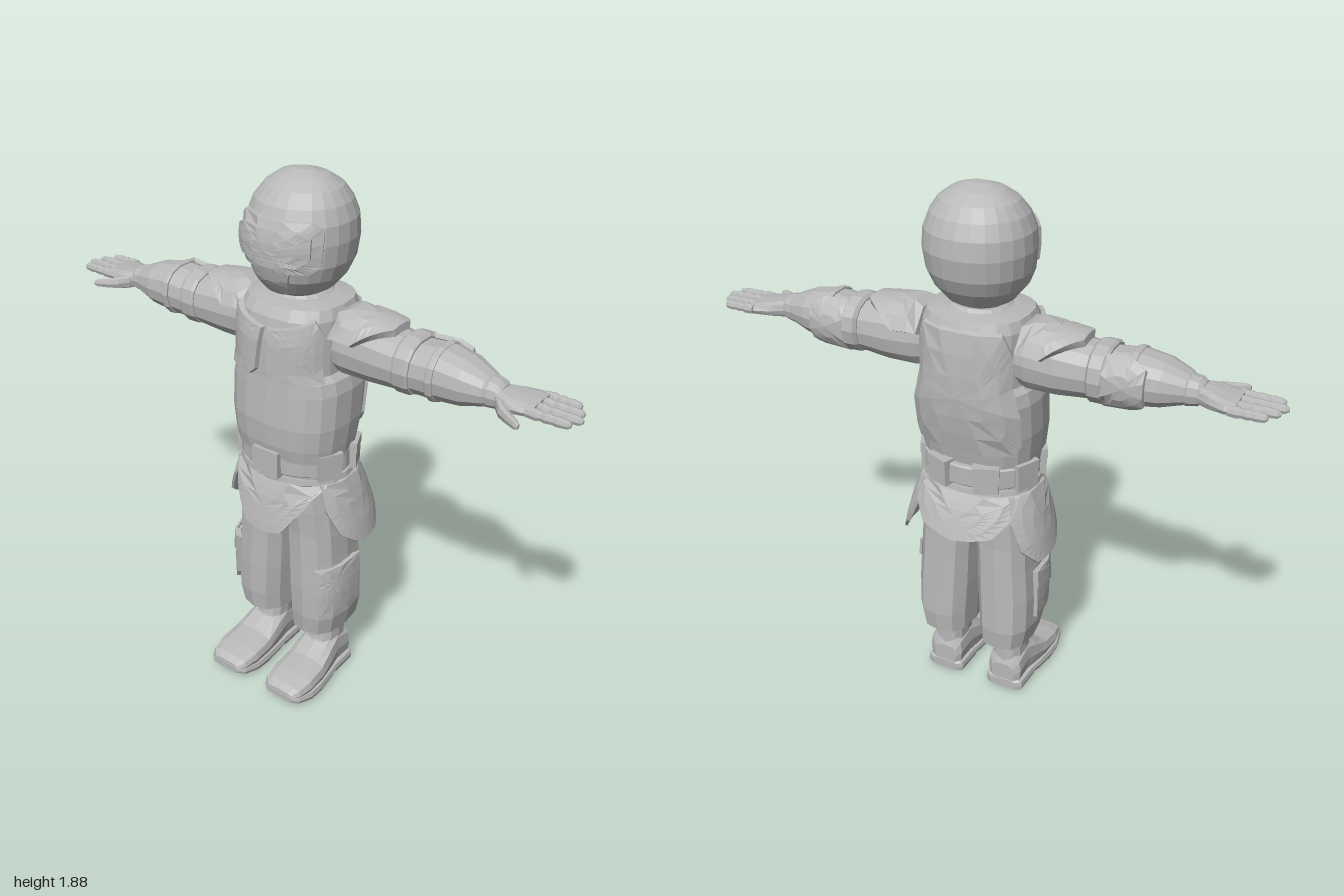
import * as THREE from 'three';

const grey = new THREE.MeshStandardMaterial({ color: 0xb8b8b8, flatShading: true, side: THREE.DoubleSide });
grey.name = 'plain grey';

// Point on a loft ring. A section is [t, a0, a1, b0, b1]: position on the axis, then the extent across it.
// Axis y: a = x, b = z. Axis x: a = z, b = y. Axis z: a = y, b = x.
const toXYZ = { y: (t, a, b) => [a, t, b], x: (t, a, b) => [t, b, a], z: (t, a, b) => [b, a, t] };
function ringPoint(s, axis, e, angle, d = 0) {
  const c = Math.cos(angle), n = Math.sin(angle);
  const bend = v => Math.sign(v) * Math.abs(v) ** (2 / e);
  const a = (s[1] + s[2]) / 2 + ((s[2] - s[1]) / 2) * bend(c) + d * c;
  const b = (s[3] + s[4]) / 2 + ((s[4] - s[3]) / 2) * bend(n) + d * n;
  return toXYZ[axis](s[0], a, b);
}

function makeMesh(name, pos, idx) {
  const g = new THREE.BufferGeometry();
  g.setAttribute('position', new THREE.Float32BufferAttribute(pos, 3));
  g.setIndex(idx);
  const flat = g.toNonIndexed();
  flat.computeVertexNormals();
  const m = new THREE.Mesh(flat, grey);
  m.name = name;
  return m;
}

// Closed skin over a row of cross-sections
function loft(name, secs, { axis = 'y', n = 16, e = 2.3 } = {}) {
  const pos = [], idx = [], last = (secs.length - 1) * n;
  for (const s of secs)
    for (let i = 0; i < n; i++) pos.push(...ringPoint(s, axis, e, (i / n) * Math.PI * 2));
  for (const s of [secs[0], secs[secs.length - 1]])
    pos.push(...toXYZ[axis](s[0], (s[1] + s[2]) / 2, (s[3] + s[4]) / 2));
  const c0 = secs.length * n;
  for (let i = 0; i < n; i++) {
    const k = (i + 1) % n;
    for (let j = 0; j < last; j += n) idx.push(j + i, j + n + i, j + k, j + k, j + n + i, j + n + k);
    idx.push(c0, i, k, c0 + 1, last + k, last + i);
  }
  return makeMesh(name, pos, idx);
}

// Padded plate lying on a loft; the outline holds [angle, t] pairs
function plate(name, outline, thick, secs, { axis = 'y', e = 2.3, lift = 0 } = {}) {
  const place = (u, t, d) => {
    let i = 0;
    while (i < secs.length - 2 && t > secs[i + 1][0]) i++;
    const f = (t - secs[i][0]) / (secs[i + 1][0] - secs[i][0]);
    return ringPoint(secs[i].map((v, k) => v + (secs[i + 1][k] - v) * f), axis, e, u, d);
  };
  const pts = [];
  outline.forEach((p, i) => {
    const q = outline[(i + 1) % outline.length];
    for (let k = 0; k < 3; k++) pts.push([p[0] + (q[0] - p[0]) * k / 3, p[1] + (q[1] - p[1]) * k / 3]);
  });
  const n = pts.length, pos = [], idx = [];
  const cu = pts.reduce((s, p) => s + p[0], 0) / n, ct = pts.reduce((s, p) => s + p[1], 0) / n;
  // inner face, rim, then outer face
  const rows = [[0.02, 0], [0.5, 0], [1, 0], [0.97, 1], [0.66, 1], [0.33, 1], [0.01, 1]];
  for (const [s, d] of rows)
    for (const [u, t] of pts) pos.push(...place(cu + (u - cu) * s, ct + (t - ct) * s, lift + d * thick));
  for (let j = 0; j < rows.length - 1; j++)
    for (let i = 0; i < n; i++) {
      const a = j * n + i, b = j * n + (i + 1) % n;
      idx.push(a, b, a + n, b, b + n, a + n);
    }
  return makeMesh(name, pos, idx);
}

const FRONT = Math.PI / 2, BACK = -Math.PI / 2;
// Symmetric outline from half of it, [offset angle, t]
const both = (mid, half) => [...half.map(([a, t]) => [mid + a, t]),
  ...half.slice().reverse().filter(p => p[0] !== 0).map(([a, t]) => [mid - a, t])];

const HELMET = [[1.497, -.07, .07, -.1, .05], [1.52, -.11, .11, -.14, .085], [1.57, -.152, .152, -.18, .122],
  [1.62, -.172, .172, -.205, .138], [1.69, -.18, .18, -.217, .14], [1.75, -.176, .176, -.211, .13],
  [1.80, -.157, .157, -.19, .107], [1.84, -.128, .128, -.16, .07], [1.87, -.085, .085, -.115, .025],
  [1.885, -.035, .035, -.065, -.02]];
const TORSO = [[.95, -.2, .2, -.165, .15], [1.0, -.207, .207, -.175, .16], [1.08, -.216, .216, -.19, .165],
  [1.2, -.216, .216, -.207, .158], [1.245, -.205, .205, -.208, .155], [1.265, -.184, .184, -.208, .155],
  [1.38, -.184, .184, -.203, .152], [1.45, -.184, .184, -.195, .138], [1.485, -.17, .17, -.18, .115],
  [1.495, -.12, .12, -.13, .06]];
const ARM = [[.14, -.13, .04, 1.27, 1.44], [.2, -.15, .05, 1.25, 1.465], [.3, -.155, .052, 1.253, 1.455],
  [.4, -.145, .05, 1.262, 1.44], [.47, -.145, .048, 1.267, 1.437], [.55, -.143, .05, 1.27, 1.445],
  [.63, -.128, .045, 1.28, 1.43], [.7, -.1, .022, 1.3, 1.4], [.72, -.085, .005, 1.31, 1.385]];
const LEG = [[.213, .045, .19, -.14, .08], [.225, .025, .208, -.163, .103], [.3, .02, .223, -.17, .113],
  [.42, .012, .224, -.165, .115], [.55, .008, .214, -.16, .112], [.65, .003, .21, -.157, .112],
  [.75, 0, .2, -.16, .12], [.84, 0, .19, -.15, .12]];
const SKIRT = [[.6, -.27, .27, -.265, .195], [.7, -.25, .25, -.25, .18], [.8, -.225, .225, -.215, .16],
  [.885, -.198, .198, -.178, .14]];

function makeArm() {
  const g = new THREE.Group(), X = { axis: 'x' };
  g.add(loft('sleeve', ARM, { axis: 'x', n: 14 }));
  g.add(plate('shoulderPad', both(FRONT, [[1.3, .17], [1.3, .26], [.75, .33], [.35, .38]]), .025, ARM, X));
  g.add(loft('elbowStrap', [[.405, -.148, .054, 1.26, 1.445], [.415, -.16, .058, 1.257, 1.453],
    [.455, -.16, .058, 1.257, 1.453], [.465, -.148, .054, 1.262, 1.445]], { axis: 'x', n: 14 }));
  g.add(plate('elbowPad', both(Math.PI, [[1.1, .45], [1.1, .53], [.7, .59], [-.01, .61], [-.01, .45]].slice(0, 3)), .014, ARM, X));
  g.add(loft('forearmStrap', [[.525, -.149, .055, 1.266, 1.447], [.53, -.152, .058, 1.263, 1.45],
    [.545, -.152, .058, 1.263, 1.45], [.55, -.149, .055, 1.268, 1.447]], { axis: 'x', n: 14 }));
  // Glove
  g.add(loft('gloveCuff', [[.69, -.08, 0, 1.31, 1.38], [.7, -.098, .014, 1.298, 1.397],
    [.735, -.088, .01, 1.302, 1.39], [.75, -.08, .005, 1.312, 1.378]], { axis: 'x', n: 12 }));
  g.add(loft('palm', [[.73, -.08, .005, 1.312, 1.375], [.78, -.108, .028, 1.312, 1.372],
    [.83, -.128, .022, 1.32, 1.364], [.86, -.126, .016, 1.325, 1.36]], { axis: 'x', n: 12, e: 2.8 }));
  [[-.117, .958], [-.077, .985], [-.037, 1], [.003, .982]].forEach(([z, tip], i) => {
    const L = tip - .84;
    const sec = [[0, .016], [.25, .018], [.36, .014], [.46, .017], [.62, .014], [.72, .016], [.94, .013], [1, .006]]
      .map(([f, r]) => [.84 + f * L, z - r, z + r, 1.342 - r, 1.342 + r]);
    g.add(loft('finger' + (i + 1), sec, { axis: 'x', n: 8 }));
  });
  g.add(loft('thumb', [[.745, -.02, .015, 1.315, 1.36], [.775, .005, .05, 1.312, 1.356], [.81, .036, .07, 1.314, 1.35],
    [.845, .06, .086, 1.316, 1.345], [.858, .072, .086, 1.322, 1.338]], { axis: 'x', n: 8 }));
  return g;
}

function makeLeg() {
  const g = new THREE.Group();
  g.add(loft('trouserLeg', LEG, { n: 12, e: 2.6 }));
  g.add(plate('cargoPocket', [[-.2, .34], [.95, .33], [1.1, .36], [1.1, .52], [-.2, .53]], .014, LEG, { e: 2.6 }));
  g.add(plate('pocketFlap', [[-.22, .47], [.45, .435], [1.12, .47], [1.12, .53], [-.22, .537]], .01, LEG, { e: 2.6, lift: .012 }));
  // Boot
  g.add(loft('bootShaft', [[.07, .058, .188, -.102, .07], [.15, .06, .18, -.1, .04], [.24, .056, .18, -.1, .025]], { n: 12, e: 2.6 }));
  g.add(loft('bootFoot', [[-.105, .03, .11, .075, .165], [-.09, .02, .15, .057, .187], [-.02, .02, .175, .052, .19],
    [.04, .02, .145, .045, .202], [.1, .02, .11, .04, .212], [.18, .022, .095, .038, .216],
    [.235, .028, .08, .048, .206], [.257, .035, .06, .07, .185]], { axis: 'z', n: 12, e: 3 }));
  g.add(loft('bootHeel', [[-.107, .002, .04, .07, .172], [-.095, 0, .045, .05, .195], [.008, 0, .045, .045, .2]],
    { axis: 'z', n: 12, e: 5 }));
  g.add(loft('bootSole', [[.0, .014, .045, .045, .2], [.04, .005, .045, .04, .208], [.12, 0, .045, .034, .22], [.18, .004, .045, .034, .222],
    [.24, .018, .05, .046, .208], [.262, .028, .052, .07, .186]], { axis: 'z', n: 12, e: 5 }));
  return g;
}

export function createModel() {
  const model = new THREE.Group();
  model.name = 'armouredFigure';

  // Head
  const head = new THREE.Group();
  head.name = 'head';
  head.add(loft('helmet', HELMET, { n: 24, e: 2.1 }));
  const H = { e: 2.1 };
  head.add(plate('visorFrame', both(FRONT, [[.8, 1.77], [1.02, 1.74], [1.0, 1.63], [.8, 1.605], [.3, 1.61]]), .01, HELMET, H));
  head.add(plate('goggles', both(FRONT, [[.55, 1.745], [.78, 1.725], [.78, 1.66], [.6, 1.638], [.3, 1.645], [0, 1.665]]), .012, HELMET, { ...H, lift: .01 }));
  head.add(plate('chinGuard', both(FRONT, [[.22, 1.645], [.42, 1.605], [.35, 1.53], [.2, 1.515]]), .012, HELMET, H));
  model.add(head);

  // Torso and vest
  const torso = new THREE.Group();
  torso.name = 'torso';
  torso.add(loft('neck', [[1.46, -.085, .085, -.12, .05], [1.54, -.08, .08, -.115, .045]], { n: 14 }));
  torso.add(loft('collar', [[1.475, -.13, .13, -.15, .08], [1.505, -.09, .09, -.125, .055]], { n: 16 }));
  torso.add(loft('vest', TORSO, { n: 20, e: 2.6 }));
  for (const s of [1, -1])
    torso.add(plate(s > 0 ? 'leftChestPlate' : 'rightChestPlate',
      [[.02, 1.42], [.1, 1.27], [.2, 1.245], [1.05, 1.25], [1.05, 1.42], [.85, 1.465], [.45, 1.44]].map(([a, t]) => [FRONT - s * a, t]),
      .016, TORSO, { e: 2.6 }));
  torso.add(plate('backPlate', both(BACK, [[.75, 1.46], [1.0, 1.38], [1.0, 1.06], [.85, 1.02]]), .01, TORSO, { e: 2.6 }));
  model.add(torso);

  // Belt with pouches
  const belt = new THREE.Group();
  belt.name = 'belt';
  belt.add(loft('beltBand', [[.895, -.196, .196, -.185, .148], [.9, -.202, .202, -.19, .153],
    [.965, -.202, .202, -.19, .153], [.97, -.196, .196, -.185, .148]], { n: 20 }));
  for (const deg of [0, 65, -65, 112, -112, 155, -155]) {
    const a = THREE.MathUtils.degToRad(deg);
    const pouch = new THREE.Mesh(new THREE.BoxGeometry(deg ? .085 : .105, .095, deg ? .035 : .03), grey);
    pouch.name = deg ? 'pouch' : 'buckle';
    pouch.position.set(.2 * Math.sin(a), .932, -.018 + .17 * Math.cos(a));
    pouch.rotation.y = Math.atan2(Math.sin(a) * .17, Math.cos(a) * .2);
    belt.add(pouch);
    const flap = new THREE.Mesh(new THREE.BoxGeometry(.09, .035, .04), grey);
    flap.name = 'pouchFlap';
    flap.position.y = .032;
    if (deg) pouch.add(flap);
  }
  model.add(belt);

  // Hips and hanging flaps
  const hips = new THREE.Group();
  hips.name = 'hips';
  hips.add(loft('pelvis', [[.665, -.11, .11, -.11, .06], [.72, -.185, .185, -.155, .11], [.8, -.198, .198, -.17, .135],
    [.9, -.193, .193, -.172, .14]], { n: 16, e: 2.5 }));
  hips.add(loft('waistHem', [[.858, -.2, .2, -.178, .145], [.865, -.207, .207, -.185, .15], [.885, -.203, .203, -.182, .148]], { n: 20 }));
  hips.add(plate('frontFlap', both(FRONT, [[1.1, .868], [.75, .82], [.44, .74], [.25, .682], [0, .667]]), .01, SKIRT));
  hips.add(plate('backFlap', both(BACK, [[1.05, .868], [.85, .8], [.5, .735], [0, .712]]), .01, SKIRT));
  const sideFlap = [[.65, .868], [.62, .78], [.4, .68], [.05, .622], [-.35, .622], [-.62, .68], [-.78, .78], [-.78, .868]];
  hips.add(plate('leftSideFlap', sideFlap, .01, SKIRT));
  hips.add(plate('rightSideFlap', sideFlap.map(([a, t]) => [Math.PI - a, t]), .01, SKIRT));
  model.add(hips);

  // Mirrored limbs
  for (const [name, s] of [['left', 1], ['right', -1]]) {
    const arm = makeArm(), leg = makeLeg();
    arm.name = name + 'Arm';
    leg.name = name + 'Leg';
    arm.scale.x = leg.scale.x = s;
    model.add(arm, leg);
  }
  return model;
}
